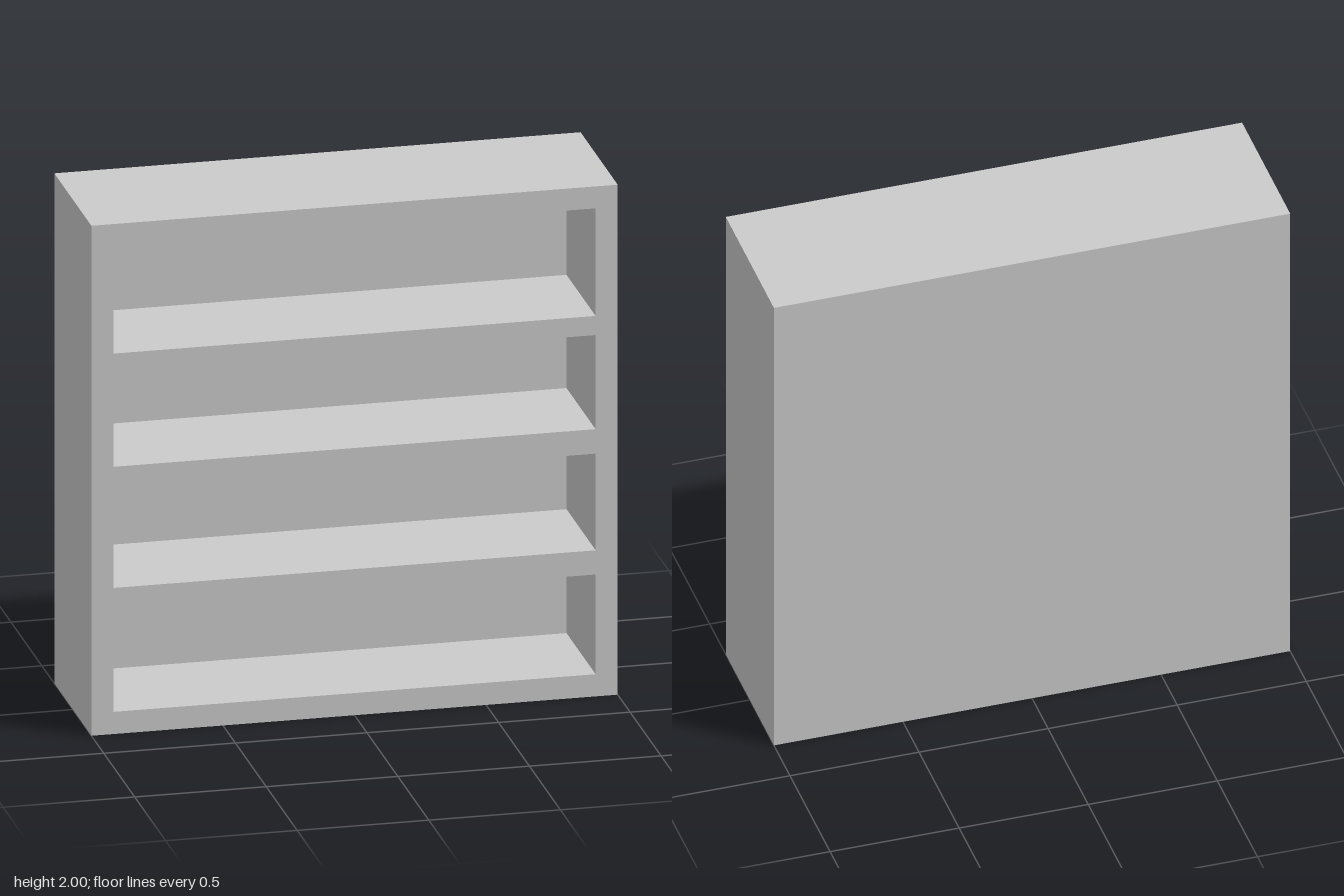
import * as THREE from 'three';

const WIDTH = 2, HEIGHT = 2, DEPTH = 0.6;
const BACK = 0.13;      // back panel thickness
const INNER = 0.916;    // half width of the openings
// bottom and top of each compartment
const BAYS = [[0.087, 0.478], [0.573, 0.952], [1.048, 1.417], [1.492, 1.914]];

function rectangle(target, x0, y0, x1, y1) {
  target.moveTo(x0, y0);
  target.lineTo(x1, y0);
  target.lineTo(x1, y1);
  target.lineTo(x0, y1);
  target.closePath();
  return target;
}

export function createModel() {
  const group = new THREE.Group();
  group.name = 'bookcase';
  const material = new THREE.MeshStandardMaterial({ color: 0xcccccc });

  // Frame and shelves: one slab with four openings
  const outline = rectangle(new THREE.Shape(), -WIDTH / 2, 0, WIDTH / 2, HEIGHT);
  for (const [low, high] of BAYS) {
    outline.holes.push(rectangle(new THREE.Path(), -INNER, low, INNER, high));
  }
  const frame = new THREE.Mesh(
    new THREE.ExtrudeGeometry(outline, { depth: DEPTH - BACK, bevelEnabled: false }),
    material
  );
  frame.name = 'frameAndShelves';
  frame.position.z = -DEPTH / 2 + BACK;
  group.add(frame);

  // Solid back closing the compartments
  const back = new THREE.Mesh(new THREE.BoxGeometry(WIDTH, HEIGHT, BACK), material);
  back.name = 'backPanel';
  back.position.set(0, HEIGHT / 2, -DEPTH / 2 + BACK / 2);
  group.add(back);

  return group;
}
